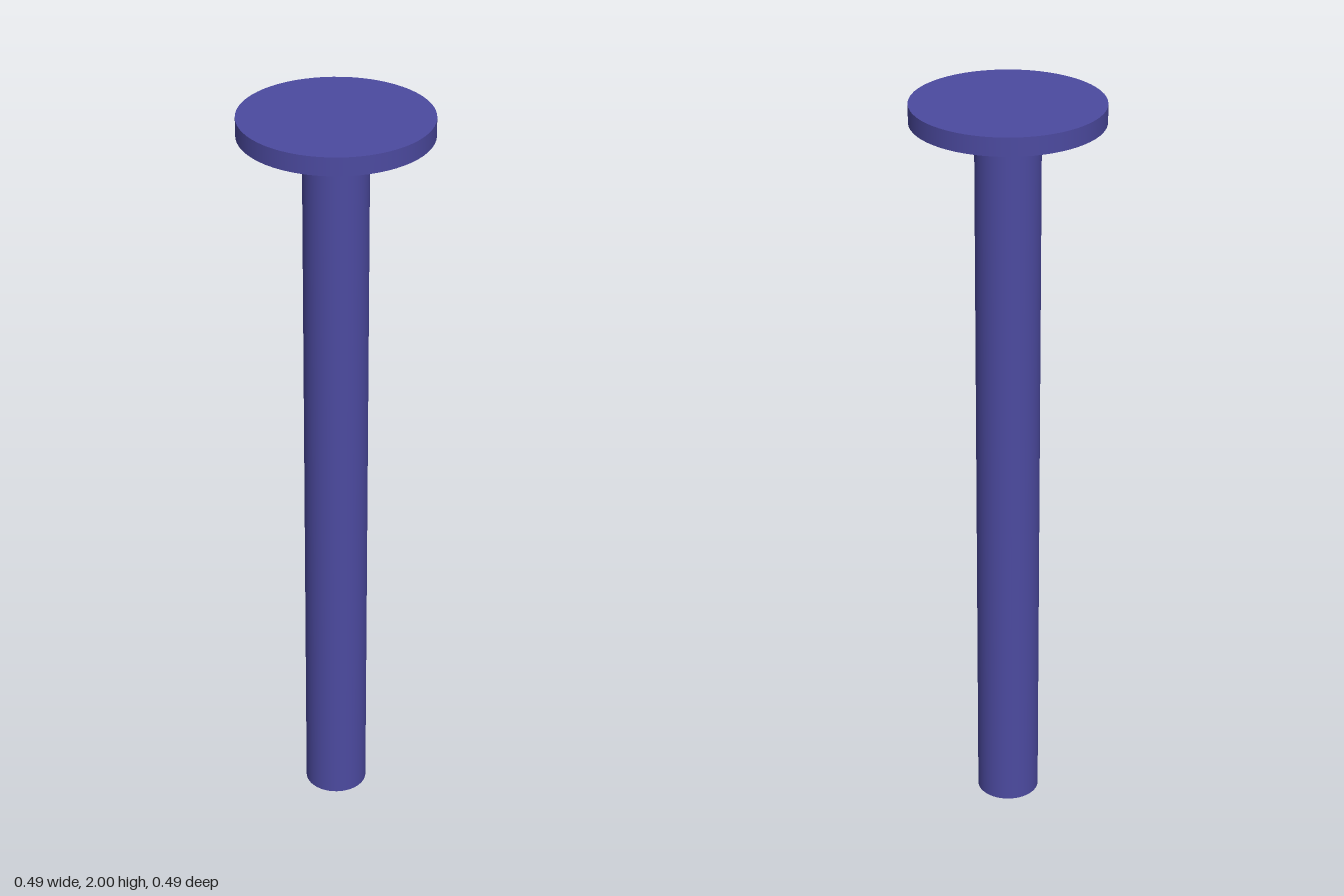
import * as THREE from 'three';

export function createModel() {
  const model = new THREE.Group();
  model.name = 'pin';
  const material = new THREE.MeshStandardMaterial({ color: 0x4c4aa0 });

  // Upright cylinder between two heights
  const addCylinder = (name, radius, bottom, top) => {
    const geometry = new THREE.CylinderGeometry(radius, radius, top - bottom, 64);
    const mesh = new THREE.Mesh(geometry, material);
    mesh.name = name;
    mesh.position.y = (bottom + top) / 2;
    model.add(mesh);
  };

  const headBottom = 1.952;
  addCylinder('shaft', 0.083, 0, headBottom); // long round shaft
  addCylinder('head', 0.244, headBottom, 2); // flat disc on top

  return model;
}
